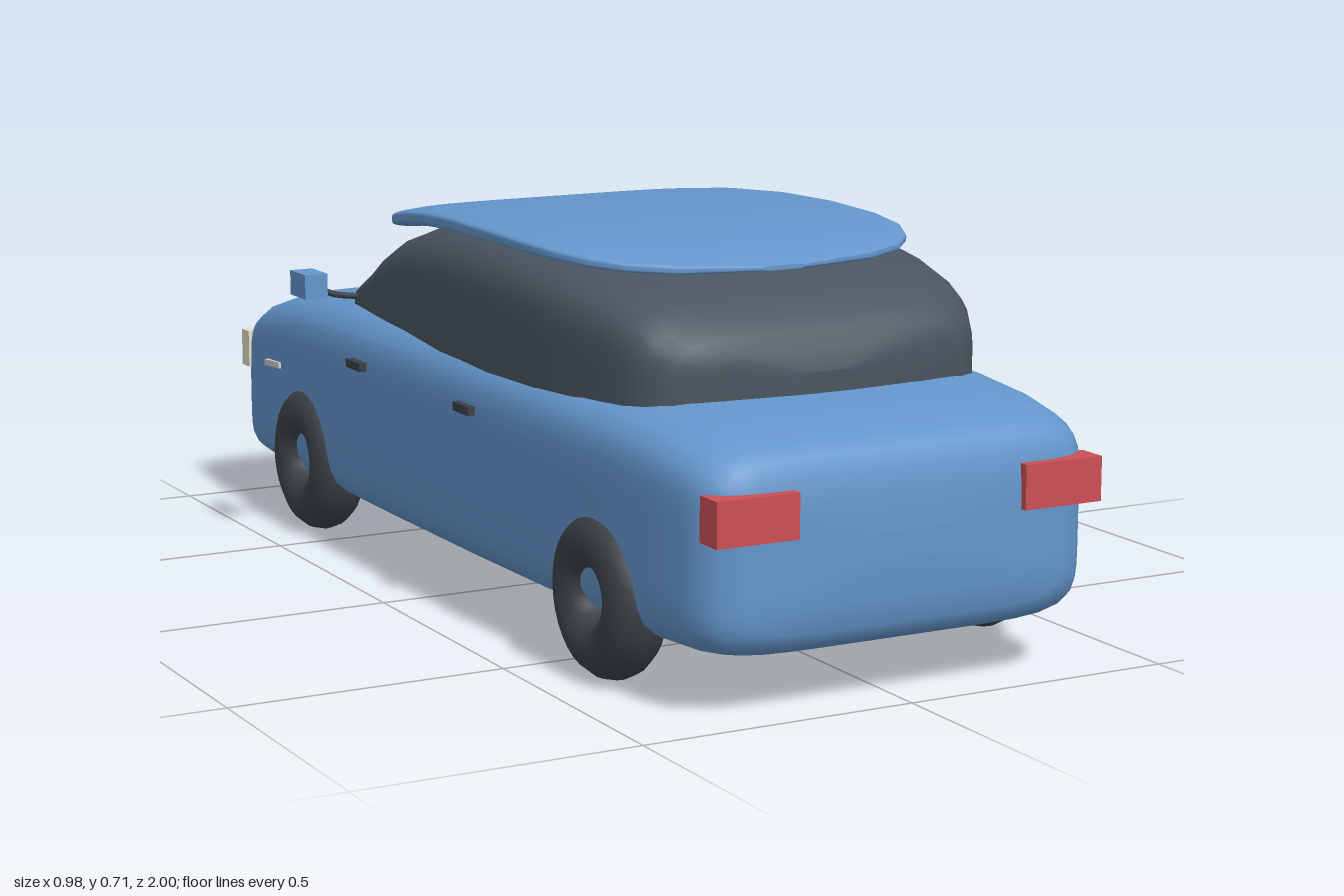
import * as THREE from 'three';

const mat = (color, extra = {}) => new THREE.MeshStandardMaterial({ color, ...extra });
const blue = mat(0x6496cc), glass = mat(0x4a5560), rubber = mat(0x3c4148),
  red = mat(0xcc5055), cream = mat(0xe4dfcc), silver = mat(0xcccccc);

// Skin over superellipse sections along z; each station is [z, halfWidth, bottom, top].
function loft(stations, power, sides = 64) {
  const pos = [], idx = [];
  const ring = ([z, hx, y0, y1]) => {
    for (let j = 0; j < sides; j++) {
      const a = (j / sides) * Math.PI * 2, c = Math.cos(a), s = Math.sin(a);
      const r = (Math.abs(c) ** power + Math.abs(s) ** power) ** (-1 / power);
      pos.push(c * r * hx, (y0 + y1) / 2 + (s * r * (y1 - y0)) / 2, z);
    }
  };
  stations.forEach(ring);
  for (let i = 0; i < stations.length - 1; i++) {
    for (let j = 0; j < sides; j++) {
      const k = (j + 1) % sides, a = i * sides, b = a + sides;
      idx.push(a + j, a + k, b + k, a + j, b + k, b + j);
    }
  }
  // flat end caps with their own vertices, so their rims stay sharp
  [stations[0], stations[stations.length - 1]].forEach((st, end) => {
    const base = pos.length / 3;
    ring(st);
    pos.push(0, (st[2] + st[3]) / 2, st[0]);
    for (let j = 0; j < sides; j++) {
      const k = (j + 1) % sides;
      idx.push(base + sides, base + (end ? j : k), base + (end ? k : j));
    }
  });
  const g = new THREE.BufferGeometry();
  g.setAttribute('position', new THREE.Float32BufferAttribute(pos, 3));
  g.setIndex(idx);
  g.computeVertexNormals();
  return g;
}

export function createModel() {
  const car = new THREE.Group();
  car.name = 'car';
  const add = (name, geo, material, x = 0, y = 0, z = 0, parent = car) => {
    const m = new THREE.Mesh(geo, material);
    m.name = name;
    m.position.set(x, y, z);
    parent.add(m);
    return m;
  };
  const box = (name, material, w, h, d, x, y, z) =>
    add(name, new THREE.BoxGeometry(w, h, d), material, x, y, z);

  // Lower body: flat nose at -z, rounded tail at +z
  add('body', loft([
    [-1, 0.355, 0.08, 0.375], [-0.97, 0.368, 0.078, 0.393], [-0.9, 0.383, 0.077, 0.422],
    [-0.8, 0.392, 0.077, 0.448], [-0.65, 0.4, 0.078, 0.47], [-0.45, 0.406, 0.079, 0.482],
    [-0.2, 0.41, 0.08, 0.487], [0.1, 0.411, 0.081, 0.488], [0.4, 0.408, 0.083, 0.486],
    [0.65, 0.4, 0.085, 0.479], [0.8, 0.392, 0.087, 0.468], [0.9, 0.38, 0.09, 0.453],
    [0.94, 0.367, 0.097, 0.44], [0.965, 0.345, 0.11, 0.423], [0.98, 0.31, 0.135, 0.395],
    [0.987, 0.23, 0.18, 0.35], [0.99, 0.08, 0.24, 0.29],
  ], 6.5), blue);

  // Glass cabin
  add('cabin', loft([
    [-0.5, 0.332, 0.44, 0.508], [-0.43, 0.342, 0.4, 0.553], [-0.36, 0.351, 0.36, 0.598],
    [-0.28, 0.36, 0.33, 0.638], [-0.18, 0.369, 0.3, 0.668], [0, 0.381, 0.3, 0.69],
    [0.2, 0.385, 0.3, 0.692], [0.38, 0.38, 0.3, 0.682], [0.5, 0.369, 0.3, 0.667],
    [0.58, 0.355, 0.31, 0.651], [0.64, 0.342, 0.32, 0.627], [0.68, 0.322, 0.34, 0.6],
    [0.705, 0.285, 0.36, 0.575], [0.722, 0.2, 0.39, 0.55], [0.733, 0.05, 0.43, 0.51],
  ], 5.5), glass);

  // Roof panel, overhanging the windscreen
  add('roof', loft([
    [-0.355, 0.315, 0.633, 0.672], [-0.27, 0.328, 0.645, 0.688], [-0.15, 0.344, 0.658, 0.702],
    [0, 0.36, 0.668, 0.711], [0.15, 0.368, 0.67, 0.713], [0.3, 0.365, 0.67, 0.709],
    [0.4, 0.35, 0.668, 0.702], [0.47, 0.318, 0.664, 0.694], [0.52, 0.272, 0.661, 0.686],
    [0.555, 0.195, 0.659, 0.678], [0.58, 0.04, 0.66, 0.668],
  ], 4.5), blue);

  // Grille on the nose
  const grille = new THREE.Shape();
  grille.moveTo(-0.22, -0.045);
  [[0.2, -0.05], [0.18, -0.025], [0.23, -0.01], [0.2, 0.015], [0.22, 0.045],
    [-0.2, 0.05], [-0.18, 0.02], [-0.23, 0.01], [-0.19, -0.015]].forEach(p => grille.lineTo(...p));
  add('grille', new THREE.ShapeGeometry(grille), mat(0x4a5058, { side: THREE.DoubleSide }), 0, 0.24, -1.0015);

  // Mirrored fittings
  for (const [side, s] of [['left', 1], ['right', -1]]) {
    box(side + 'TailLight', red, 0.152, 0.077, 0.055, s * 0.293, 0.338, 0.9725);
    box(side + 'Headlight', cream, 0.03, 0.075, 0.038, s * 0.36, 0.308, -0.98);
    box(side + 'Mirror', blue, 0.046, 0.047, 0.074, s * 0.466, 0.53, -0.41);
    const arm = new THREE.CatmullRomCurve3([
      new THREE.Vector3(s * 0.37, 0.5, -0.405), new THREE.Vector3(s * 0.415, 0.507, -0.408),
      new THREE.Vector3(s * 0.45, 0.522, -0.412)]);
    add(side + 'MirrorArm', new THREE.TubeGeometry(arm, 8, 0.006, 8), rubber);
    box(side + 'FrontDoorHandle', rubber, 0.025, 0.016, 0.065, s * 0.41, 0.385, -0.307);
    box(side + 'RearDoorHandle', rubber, 0.025, 0.016, 0.065, s * 0.41, 0.385, 0.172);
    const marker = box(side + 'SideMarker', silver, 0.016, 0.012, 0.075, s * 0.393, 0.31, -0.773);
    marker.rotation.x = -0.06;
  }

  // Wheels: every hub points to +x
  const tyre = new THREE.TorusGeometry(0.091, 0.055, 14, 32).rotateY(Math.PI / 2);
  const lathe = pts => new THREE.LatheGeometry(pts.map(p => new THREE.Vector2(...p)), 32).rotateZ(-Math.PI / 2);
  const hub = lathe([[0, 0], [0.07, 0], [0.08, 0.02], [0.08, 0.05], [0.075, 0.06],
    [0.06, 0.065], [0.045, 0.074], [0, 0.075]]);
  const cap = new THREE.CylinderGeometry(0.022, 0.025, 0.025, 20).rotateZ(-Math.PI / 2);
  const hole = new THREE.CylinderGeometry(0.005, 0.005, 0.01, 8).rotateZ(-Math.PI / 2);
  for (const [end, z] of [['front', -0.61], ['rear', 0.635]]) {
    for (const [side, x] of [['Left', 0.368], ['Right', -0.368]]) {
      const wheel = new THREE.Group();
      wheel.name = end + side + 'Wheel';
      wheel.position.set(x, 0.146, z);
      car.add(wheel);
      add('tyre', tyre, rubber, 0, 0, 0, wheel);
      add('hub', hub, silver, 0, -0.028, 0, wheel);
      add('hubCap', cap, rubber, 0.079, -0.028, 0, wheel);
      for (let i = 0; i < 10; i++) {
        const a = (i / 10) * Math.PI * 2;
        add('hubHole', hole, rubber, 0.0615, -0.028 + 0.062 * Math.sin(a), 0.062 * Math.cos(a), wheel);
      }
    }
  }
  return car;
}
